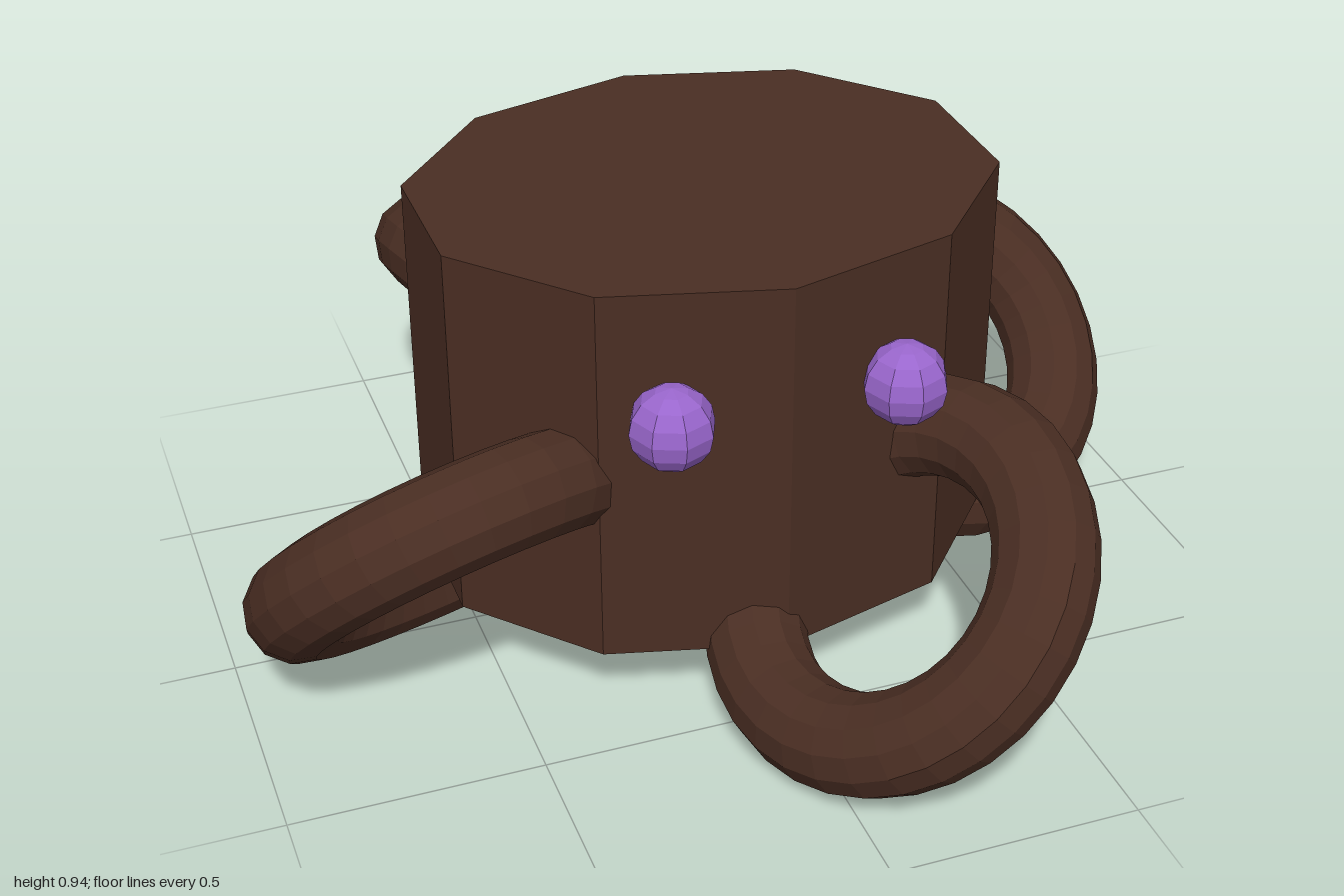
import * as THREE from 'three';

export function createModel() {
  const model = new THREE.Group();
  model.name = 'loopLeggedCreature';

  const bark = new THREE.MeshStandardMaterial({ color: 0x4a2e23, flatShading: true });
  bark.name = 'dark brown';
  const violet = new THREE.MeshStandardMaterial({ color: 0x9966cc, flatShading: true });
  violet.name = 'violet';

  // Ten-sided drum body, narrower from front to back
  const body = new THREE.Mesh(new THREE.CylinderGeometry(0.59, 0.59, 0.79, 10), bark);
  body.name = 'body';
  body.scale.z = 0.485 / 0.59;
  body.position.y = 0.545;
  model.add(body);

  // Four tilted ring legs, a quarter turn apart
  const ring = new THREE.TorusGeometry(0.32, 0.1, 12, 32);
  const axis = new THREE.Vector3(0.68, -0.705, -0.2).normalize();
  ring.applyQuaternion(new THREE.Quaternion().setFromUnitVectors(new THREE.Vector3(0, 0, 1), axis));
  ring.translate(0.175, 0.327, 0.586);
  ['frontLeg', 'leftLeg', 'backLeg', 'rightLeg'].forEach((name, i) => {
    const leg = new THREE.Mesh(ring, bark);
    leg.name = name;
    leg.rotation.y = i * Math.PI / 2;
    model.add(leg);
  });

  // Eyes set into the front faces
  const ball = new THREE.SphereGeometry(0.083, 8, 8);
  for (const side of [-1, 1]) {
    const eye = new THREE.Mesh(ball, violet);
    eye.name = side > 0 ? 'leftEye' : 'rightEye';
    eye.position.set(side * 0.23, 0.69, 0.47);
    model.add(eye);
  }

  return model;
}
